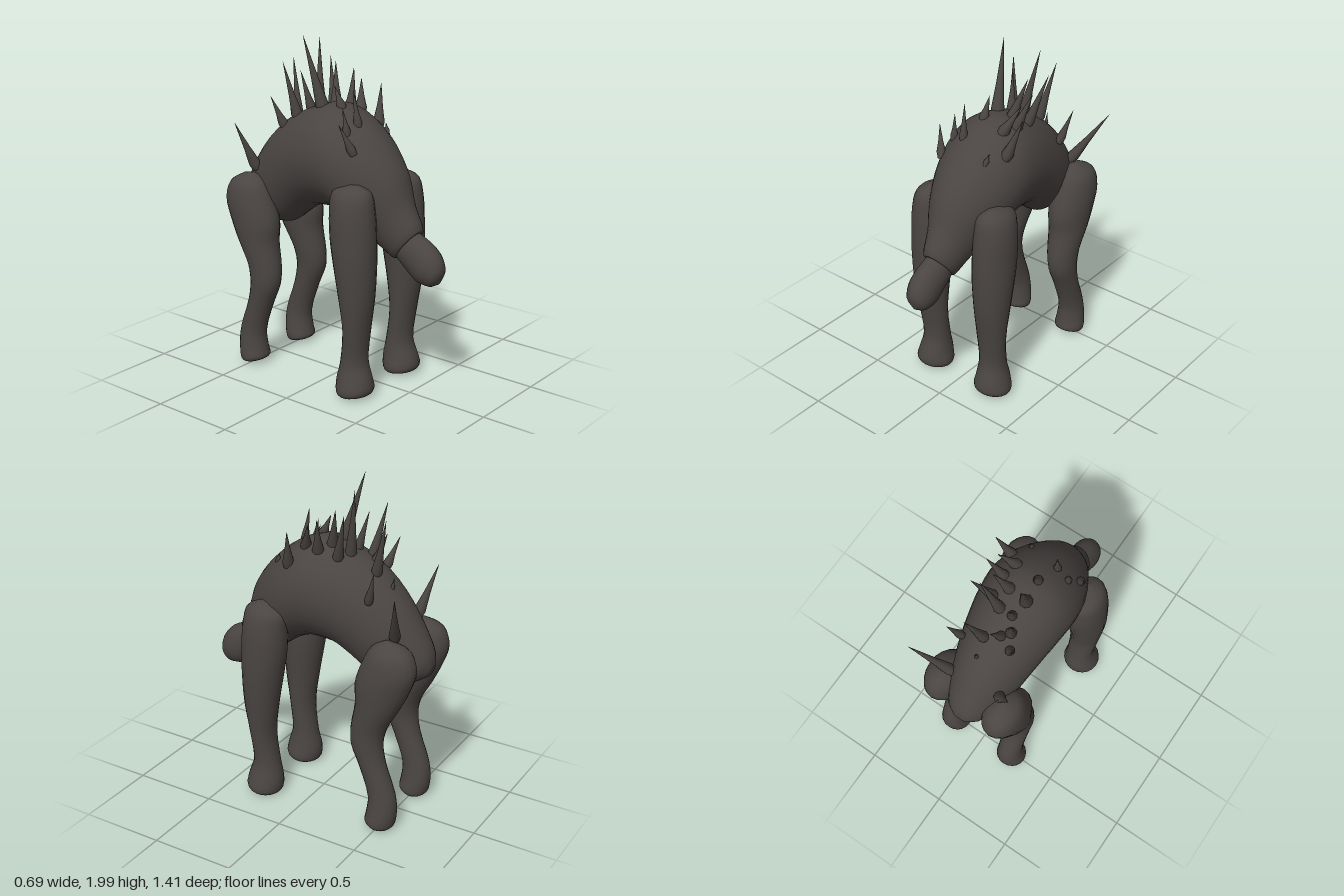
import * as THREE from 'three';

const hide = new THREE.MeshStandardMaterial({ name: 'charcoal hide', color: 0x4a4543 });

// Smooth loft through oval sections: [outer z, outer y, inner z, inner y, half width, centre x]
function loft(name, sections, side = 1, steps = 3, sides = 20) {
  const pick = (i, j) => new THREE.CatmullRomCurve3(
    sections.map(s => new THREE.Vector3(s[i] ?? 0, s[i + 1] ?? 0, s[j] ?? 0)));
  const a = pick(0, 2), b = pick(3, 5);
  const rows = (sections.length - 1) * steps;
  const pos = [], idx = [];
  for (let r = 0; r <= rows; r++) {
    const p = a.getPoint(r / rows), q = b.getPoint(r / rows);
    const [zo, yo, zi, yi, w, cx] = [p.x, p.y, p.z, q.x, q.y, q.z];
    for (let k = 0; k < sides; k++) {
      const t = (k / sides) * Math.PI * 2, c = Math.cos(t), s = Math.sin(t);
      pos.push(cx * side + w * s, (yo + yi) / 2 + c * (yo - yi) / 2, (zo + zi) / 2 + c * (zo - zi) / 2);
      if (r < rows) {
        const k2 = (k + 1) % sides, i = r * sides;
        idx.push(i + k, i + sides + k, i + k2, i + k2, i + sides + k, i + sides + k2);
      }
    }
  }
  // close both ends
  for (let k = 1; k < sides - 1; k++) {
    const e = rows * sides;
    idx.push(0, k, k + 1, e, e + k + 1, e + k);
  }
  const g = new THREE.BufferGeometry();
  g.setAttribute('position', new THREE.Float32BufferAttribute(pos, 3));
  g.setIndex(idx);
  g.computeVertexNormals();
  const m = new THREE.Mesh(g, hide);
  m.name = name;
  return m;
}

// Arched trunk, rump to neck
const trunk = [
  [-0.70, 1.00, -0.68, 0.93, 0.04], [-0.69, 1.07, -0.60, 0.88, 0.10],
  [-0.64, 1.17, -0.47, 0.86, 0.15], [-0.52, 1.35, -0.36, 0.87, 0.19],
  [-0.36, 1.50, -0.25, 0.95, 0.225], [-0.16, 1.60, -0.13, 1.02, 0.255],
  [0.01, 1.63, 0.00, 1.03, 0.27], [0.16, 1.565, 0.10, 1.00, 0.26],
  [0.30, 1.45, 0.18, 0.95, 0.225], [0.42, 1.29, 0.26, 0.89, 0.17],
  [0.48, 1.13, 0.33, 0.84, 0.125], [0.55, 0.99, 0.40, 0.80, 0.092],
  [0.53, 0.96, 0.43, 0.82, 0.06],
];

// Blunt hanging head
const head = [
  [0.47, 1.01, 0.35, 0.86, 0.06], [0.545, 0.965, 0.42, 0.80, 0.078],
  [0.63, 0.92, 0.49, 0.74, 0.083], [0.685, 0.86, 0.56, 0.692, 0.082],
  [0.708, 0.79, 0.63, 0.683, 0.06], [0.69, 0.72, 0.68, 0.705, 0.01],
];

const foreleg = [
  [0.30, 1.245, 0.24, 1.245, 0.02, 0.22], [0.37, 1.20, 0.13, 1.20, 0.09, 0.22],
  [0.39, 1.10, 0.12, 1.10, 0.113, 0.225], [0.40, 0.95, 0.125, 0.95, 0.12, 0.225],
  [0.40, 0.80, 0.15, 0.80, 0.12, 0.225], [0.39, 0.60, 0.185, 0.60, 0.105, 0.225],
  [0.36, 0.40, 0.21, 0.40, 0.09, 0.22], [0.345, 0.22, 0.185, 0.20, 0.083, 0.215],
  [0.375, 0.12, 0.165, 0.10, 0.10, 0.22], [0.385, 0.06, 0.17, 0.03, 0.113, 0.222],
  [0.37, 0.03, 0.19, 0.008, 0.10, 0.222], [0.30, 0.016, 0.27, 0.012, 0.02, 0.222],
];

const hindLeg = [
  [-0.50, 1.18, -0.58, 1.17, 0.02, 0.19], [-0.42, 1.13, -0.66, 1.12, 0.09, 0.195],
  [-0.37, 1.03, -0.69, 1.02, 0.115, 0.197], [-0.33, 0.90, -0.655, 0.90, 0.118, 0.197],
  [-0.335, 0.78, -0.60, 0.78, 0.108, 0.20], [-0.31, 0.62, -0.525, 0.64, 0.09, 0.205],
  [-0.315, 0.52, -0.505, 0.54, 0.082, 0.21], [-0.37, 0.39, -0.525, 0.41, 0.074, 0.21],
  [-0.43, 0.20, -0.59, 0.23, 0.072, 0.21], [-0.42, 0.09, -0.602, 0.12, 0.085, 0.21],
  [-0.415, 0.05, -0.59, 0.035, 0.092, 0.21], [-0.44, 0.028, -0.57, 0.012, 0.08, 0.21],
  [-0.49, 0.018, -0.52, 0.014, 0.02, 0.21],
];

// Spines: [base x, base z, tip x, tip y, tip z, radius, optional base y]
const spines = [
  [-0.16, -0.52, -0.265, 1.48, -0.58, 0.034, 1.22], [0.16, -0.54, 0.345, 1.50, -0.63, 0.034, 1.20],
  [-0.11, -0.34, -0.16, 1.64, -0.39, 0.028], [-0.07, -0.27, -0.12, 1.84, -0.33, 0.032],
  [-0.035, -0.31, -0.02, 1.70, -0.385, 0.028], [-0.03, -0.20, -0.06, 1.79, -0.25, 0.028],
  [-0.05, -0.10, -0.09, 2.00, -0.205, 0.038], [-0.04, 0.03, -0.04, 1.73, -0.02, 0.028],
  [0.045, -0.36, 0.10, 1.82, -0.44, 0.032], [0.05, -0.20, 0.12, 1.96, -0.26, 0.034],
  [0.06, -0.09, 0.125, 1.83, -0.145, 0.034], [0.12, -0.16, 0.195, 1.84, -0.24, 0.032],
  [0.13, -0.04, 0.21, 1.79, -0.08, 0.034], [0.11, 0.05, 0.19, 1.74, -0.01, 0.034],
  [0.19, 0.115, 0.265, 1.71, 0.075, 0.034], [0.18, -0.39, 0.225, 1.56, -0.44, 0.026],
  [-0.07, 0.17, -0.08, 1.73, 0.145, 0.024], [-0.15, 0.155, -0.16, 1.64, 0.135, 0.022],
  [-0.19, 0.22, -0.24, 1.57, 0.17, 0.026], [0.13, 0.22, 0.14, 1.52, 0.205, 0.016],
  [0.03, -0.45, 0.03, 1.48, -0.46, 0.012],
];

// Height of the back at a given spot
function backHeight(x, z) {
  let i = 0;
  while (i < trunk.length - 3 && trunk[i + 1][0] < z) i++;
  const [p, q] = [trunk[i], trunk[i + 1]];
  const f = (z - p[0]) / (q[0] - p[0]);
  return p[1] + f * (q[1] - p[1]) - 2.5 * x * x;
}

function spine([bx, bz, tx, ty, tz, radius, by]) {
  const base = new THREE.Vector3(bx, by ?? backHeight(bx, bz), bz);
  const dir = new THREE.Vector3(tx, ty, tz).sub(base);
  const length = dir.length();
  dir.normalize();
  const sunk = 0.03;
  // gently tapering thorn
  const g = new THREE.LatheGeometry([
    new THREE.Vector2(radius * 0.8, -sunk), new THREE.Vector2(radius, 0.01),
    new THREE.Vector2(radius * 0.55, length * 0.4), new THREE.Vector2(0.0005, length),
  ], 9);
  const m = new THREE.Mesh(g, hide);
  m.name = 'spine';
  m.position.copy(base);
  m.quaternion.setFromUnitVectors(new THREE.Vector3(0, 1, 0), dir);
  return m;
}

export function createModel() {
  const model = new THREE.Group();
  model.name = 'spinedBeast';
  model.add(loft('trunk', trunk, 1, 3, 28), loft('head', head));
  for (const [label, side] of [['left', 1], ['right', -1]]) {
    model.add(loft(label + 'Foreleg', foreleg, side), loft(label + 'HindLeg', hindLeg, side));
  }
  const ridge = new THREE.Group();
  ridge.name = 'backSpines';
  spines.forEach(s => ridge.add(spine(s)));
  model.add(ridge);
  return model;
}
